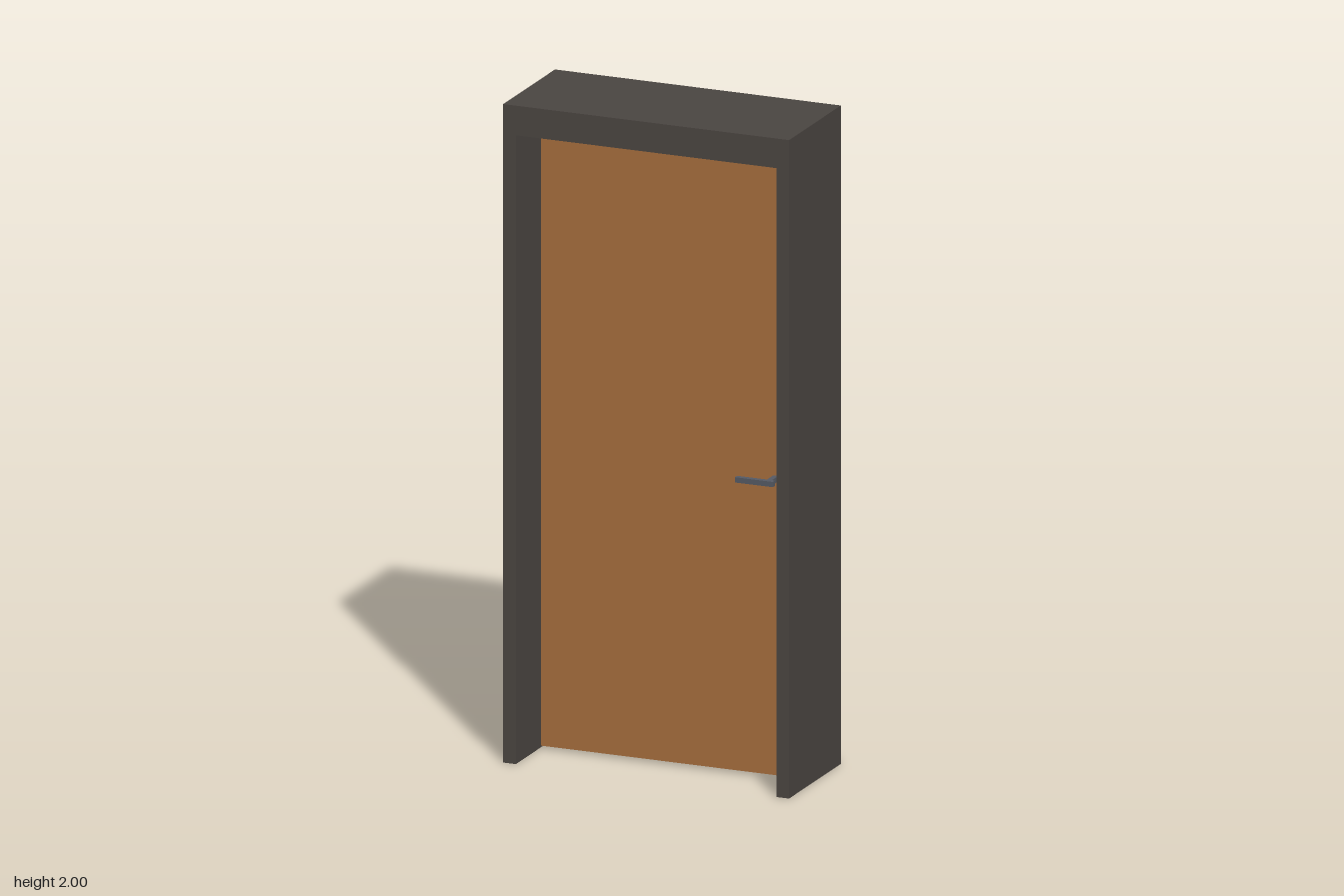
import * as THREE from 'three';

const material = (color) => new THREE.MeshStandardMaterial({ color });

export function createModel() {
  const model = new THREE.Group();
  model.name = 'door';
  const frameMat = material(0x4a4541);
  const panelMat = material(0xa66d3d);
  const handleMat = material(0x555a64);

  const box = (name, parent, mat, size, pos) => {
    const mesh = new THREE.Mesh(new THREE.BoxGeometry(...size), mat);
    mesh.name = name;
    mesh.position.set(...pos);
    parent.add(mesh);
    return mesh;
  };

  // Deep frame: two jambs and a lintel in one piece, open at the floor
  const W = 0.453, inner = 0.413, H = 2, lintel = 1.91, depth = 0.378;
  const outline = new THREE.Shape([
    [-W, 0], [-inner, 0], [-inner, lintel], [inner, lintel],
    [inner, 0], [W, 0], [W, H], [-W, H],
  ].map(([x, y]) => new THREE.Vector2(x, y)));
  const frameGeo = new THREE.ExtrudeGeometry(outline, { depth, bevelEnabled: false });
  frameGeo.translate(0, 0, -depth / 2);
  const frame = new THREE.Mesh(frameGeo, frameMat);
  frame.name = 'frame';
  model.add(frame);

  // Door leaf, with a narrow gap all round
  const thickness = 0.04, bottom = 0.01, top = 1.905;
  box('doorLeaf', model, panelMat, [0.814, top - bottom, thickness], [0, (top + bottom) / 2, 0]);

  // Lever handle on each face: short stem and a flat bar towards the hinges
  for (const side of [1, -1]) {
    const handle = new THREE.Group();
    handle.name = side > 0 ? 'frontHandle' : 'backHandle';
    handle.position.y = 0.912;
    box('stem', handle, handleMat, [0.016, 0.016, 0.05], [0.338, 0, side * (thickness / 2 + 0.024)]);
    box('lever', handle, handleMat, [0.12, 0.016, 0.016], [0.295, 0, side * (thickness / 2 + 0.054)]);
    model.add(handle);
  }
  return model;
}
